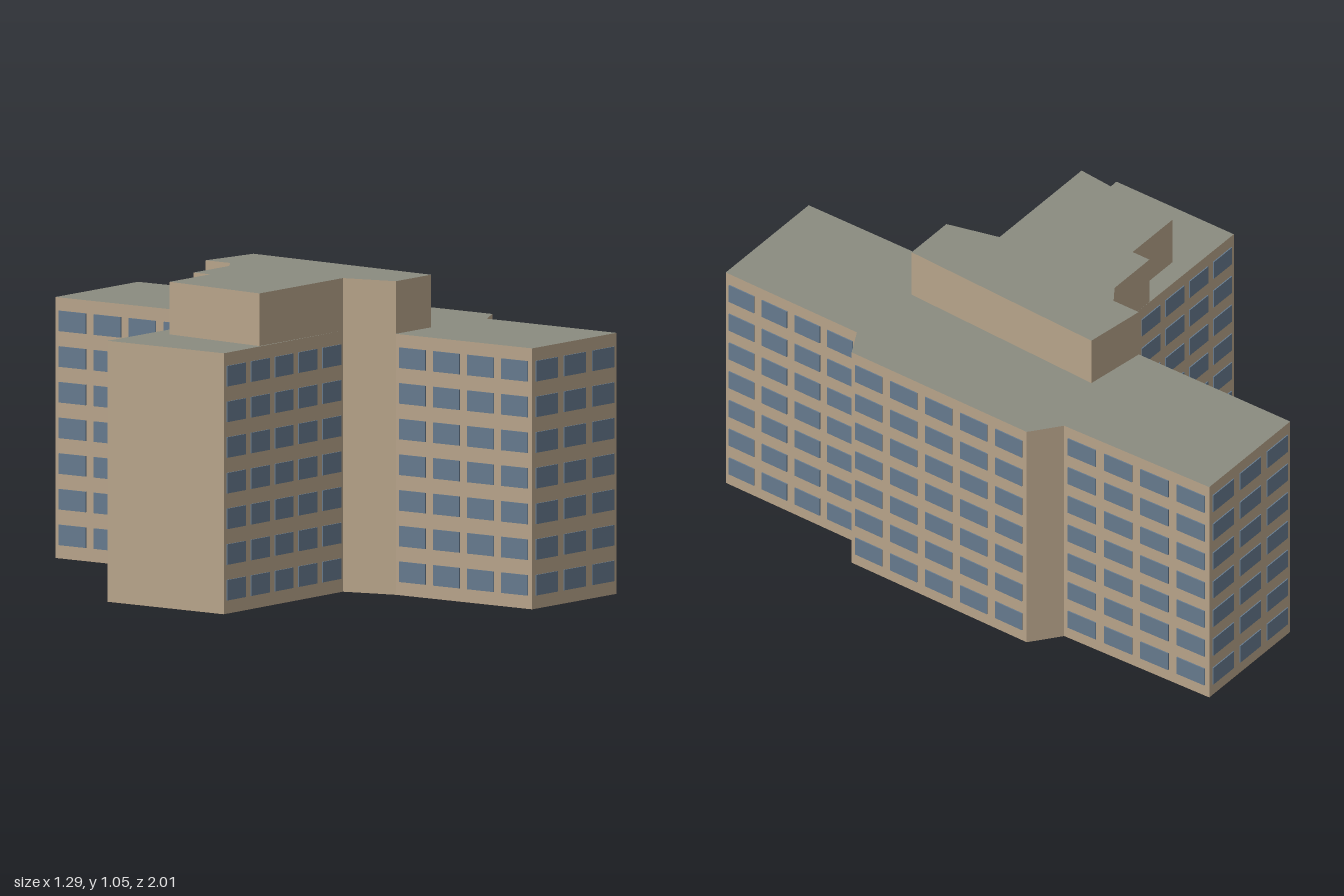
import * as THREE from 'three';
import { mergeGeometries } from 'three/addons/utils/BufferGeometryUtils.js';

const ROOF = 0.878, TOP = 1.055;
const FLOORS = 7, FLOOR_PITCH = 0.12, SILL = 0.045, WINDOW_HEIGHT = 0.069;

// Main footprint: x, z, and the window columns on the wall that starts at this corner
const MAIN = [
  [0.07, -1, 3], [0.522, -1, 4], [0.538, -0.41, 0], [0.64, -0.33, 5], [0.635, 0.4, 0],
  [0.536, 0.452, 4], [0.531, 1, 3], [0.068, 1, 4], [0.066, 0.43, 0], [0.018, 0.245, 5],
  [-0.648, 0.255, 0], [-0.648, -0.232, 5], [0.015, -0.23, 0], [0.074, -0.27, 5],
];

// Upper storey footprint, flush with the inner corners of the main block
const UPPER = [
  [0.074, -0.374], [0.295, -0.342], [0.26, 0.43], [0.066, 0.43], [0.018, 0.245],
  [-0.44, 0.245], [-0.402, -0.16], [-0.18, -0.16], [-0.18, -0.23], [0.015, -0.23], [0.074, -0.27],
];

// Calls fn(length, placement matrix, columns) for each wall; local +z points outward
function eachWall(points, fn) {
  return points.flatMap(([x, z, columns], i) => {
    const [x2, z2] = points[(i + 1) % points.length];
    const dx = x2 - x, dz = z2 - z;
    const m = new THREE.Matrix4().makeRotationY(Math.atan2(dz, -dx));
    m.setPosition((x + x2) / 2, 0, (z + z2) / 2);
    return fn(Math.hypot(dx, dz), m, columns);
  });
}

function makeWalls(points, bottom, top) {
  return mergeGeometries(eachWall(points, (length, m) => [
    new THREE.PlaneGeometry(length, top - bottom)
      .translate(0, (top + bottom) / 2, 0).applyMatrix4(m),
  ]));
}

function makeRoof(points, y) {
  const shape = new THREE.Shape(points.map(([x, z]) => new THREE.Vector2(x, -z)));
  return new THREE.ShapeGeometry(shape).rotateX(-Math.PI / 2).translate(0, y, 0);
}

// Thin plates in an even grid on every wall with columns
function makeWindows(points) {
  return mergeGeometries(eachWall(points, (length, m, columns) => {
    const plates = [];
    const cell = length / columns;
    for (let c = 0; c < columns; c++) {
      for (let f = 0; f < FLOORS; f++) {
        plates.push(new THREE.BoxGeometry(cell * 0.77, WINDOW_HEIGHT, 0.004)
          .translate((c + 0.5) * cell - length / 2, SILL + WINDOW_HEIGHT / 2 + f * FLOOR_PITCH, 0.0025)
          .applyMatrix4(m));
      }
    }
    return plates;
  }));
}

export function createModel() {
  const model = new THREE.Group();
  model.name = 'apartmentBlock';

  const material = (name, color, side) => {
    const mat = new THREE.MeshStandardMaterial({ color, side });
    mat.name = name;
    return mat;
  };
  const wall = material('tan wall', 0xb8a48a, THREE.DoubleSide);
  const roof = material('grey roof', 0x8a8b80, THREE.DoubleSide);
  const glass = material('blue glass', 0x667a8e, THREE.FrontSide);

  const add = (name, geometry, mat) => {
    const mesh = new THREE.Mesh(geometry, mat);
    mesh.name = name;
    model.add(mesh);
  };

  // Main block, open underneath
  add('mainWalls', makeWalls(MAIN, 0, ROOF), wall);
  add('mainRoof', makeRoof(MAIN, ROOF), roof);
  add('windows', makeWindows(MAIN), glass);

  // Windowless upper storey
  add('upperWalls', makeWalls(UPPER, ROOF, TOP), wall);
  add('upperRoof', makeRoof(UPPER, TOP), roof);

  return model;
}
